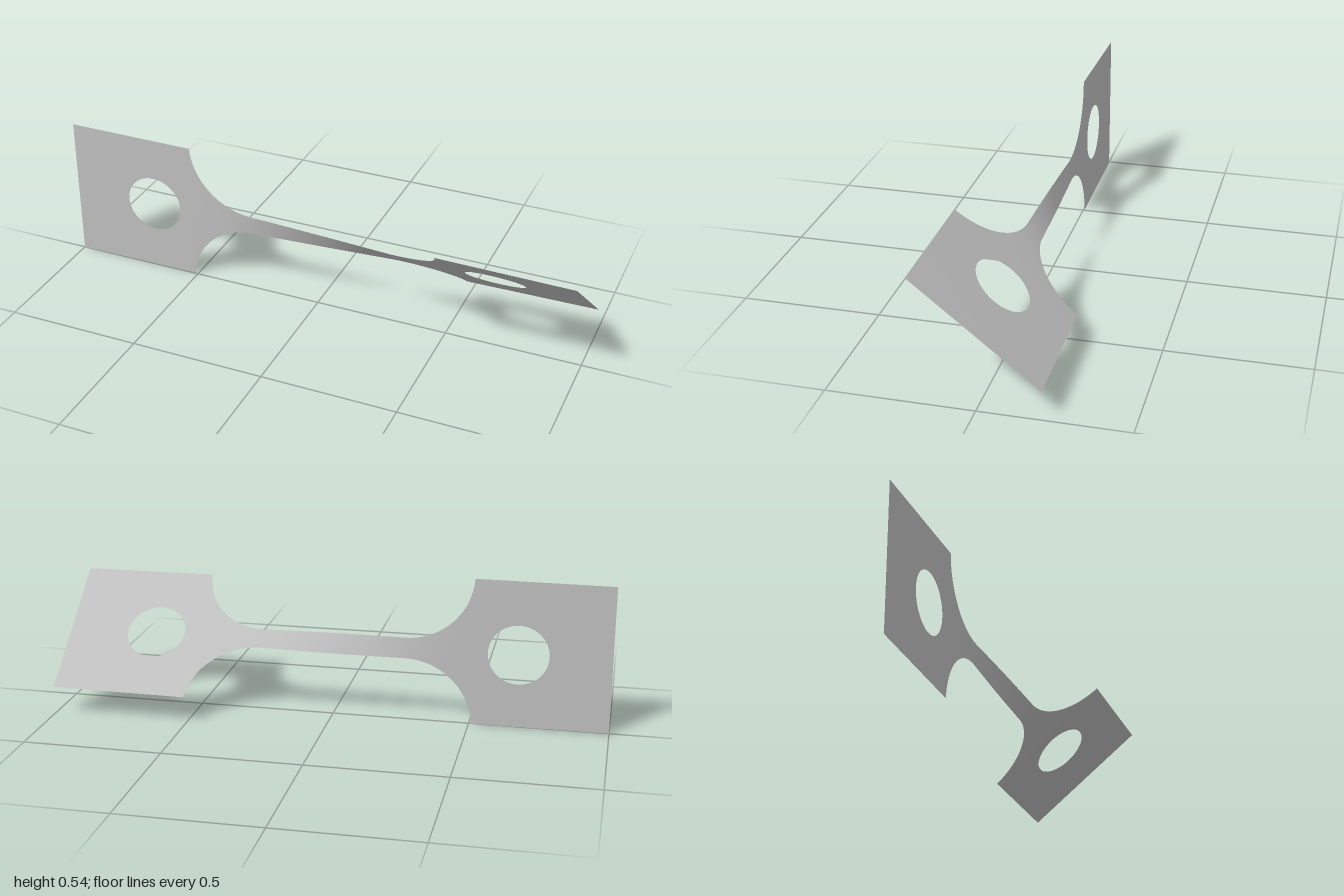
import * as THREE from 'three';

const HALF = 0.2705, NECK = 0.0375;            // half widths of grip and gauge
const FILLET_X = 0.262, FILLET_R = 0.247;      // where the fillets meet the gauge
const HOLE_X = 0.67, HOLE_R = 0.109;
const CORNER_X = FILLET_X + Math.sqrt(FILLET_R ** 2 - (NECK + FILLET_R - HALF) ** 2);
const TWIST = THREE.MathUtils.degToRad(51.5);

// half width of the flat specimen at distance |x| from its middle
function halfWidth(x) {
  const d = Math.abs(x);
  if (d <= FILLET_X) return NECK;
  if (d >= CORNER_X) return HALF;
  return NECK + FILLET_R - Math.sqrt(FILLET_R ** 2 - (d - FILLET_X) ** 2);
}

// half height of the round hole at x
function holeHeight(x) {
  const d = Math.abs(x) - HOLE_X;
  return Math.sqrt(Math.max(0, HOLE_R ** 2 - d * d));
}

// x positions of the cross-sections, closer together round curves
function columns() {
  const half = [];
  for (let i = 0; i < 24; i++) half.push(FILLET_X * i / 24);
  const end = Math.asin((CORNER_X - FILLET_X) / FILLET_R);
  for (let i = 0; i <= 32; i++) half.push(FILLET_X + FILLET_R * Math.sin(end * i / 32));
  for (let i = 0; i <= 40; i++) half.push(HOLE_X - HOLE_R * Math.cos(Math.PI * i / 40));
  for (let i = 1; i <= 6; i++) half.push(HOLE_X + HOLE_R + (1 - HOLE_X - HOLE_R) * i / 6);
  return [...half.slice(1).reverse().map((x) => -x), ...half];
}

// angle at each cross-section: narrow parts twist far more than wide ones
function twistAngles(xs) {
  const rate = (x) => halfWidth(x) ** -1.8;
  const sums = [0];
  for (let i = 1; i < xs.length; i++) {
    sums.push(sums[i - 1] + (rate(xs[i]) + rate(xs[i - 1])) / 2 * (xs[i] - xs[i - 1]));
  }
  return sums.map((s) => TWIST * s / sums[sums.length - 1]);
}

// one half of the sheet, above (side 1) or below (side -1) the twist axis
function stripGeometry(xs, angles, side) {
  const positions = [], normals = [], index = [];
  xs.forEach((x, i) => {
    const a = angles[i], j = Math.min(i + 1, xs.length - 1), k = Math.max(i - 1, 0);
    const slope = (angles[j] - angles[k]) / (xs[j] - xs[k]);
    const inner = side * holeHeight(x), outer = side * halfWidth(x);
    for (const v of side > 0 ? [inner, outer] : [outer, inner]) {
      positions.push(x, v * Math.cos(a), v * Math.sin(a));
      const n = new THREE.Vector3(-v * slope, -Math.sin(a), Math.cos(a)).normalize();
      normals.push(n.x, n.y, n.z);
    }
    if (i > 0) {
      const p = 2 * (i - 1);
      index.push(p, p + 2, p + 3, p, p + 3, p + 1);
    }
  });
  const geometry = new THREE.BufferGeometry();
  geometry.setAttribute('position', new THREE.Float32BufferAttribute(positions, 3));
  geometry.setAttribute('normal', new THREE.Float32BufferAttribute(normals, 3));
  geometry.setIndex(index);
  return geometry;
}

export function createModel() {
  const group = new THREE.Group();
  group.name = 'twistedTestStrip';
  const metal = new THREE.MeshStandardMaterial({ color: 0xc0c0c0, side: THREE.DoubleSide });
  metal.name = 'light grey metal';

  const xs = columns();
  const angles = twistAngles(xs);
  for (const [name, side] of [['upperHalf', 1], ['lowerHalf', -1]]) {
    const mesh = new THREE.Mesh(stripGeometry(xs, angles, side), metal);
    mesh.name = name;
    mesh.position.y = HALF;
    group.add(mesh);
  }
  return group;
}
